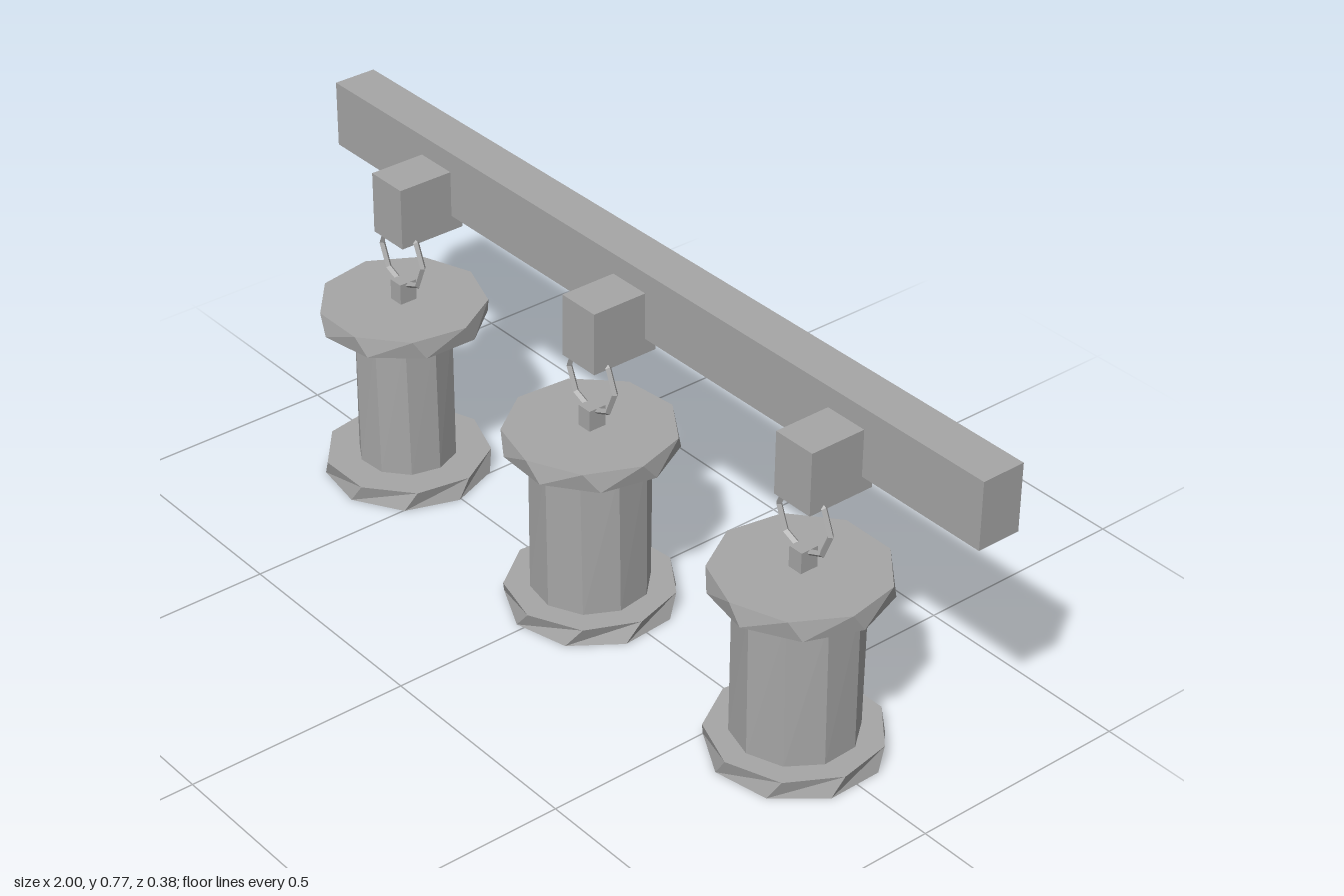
import * as THREE from 'three';

const grey = new THREE.MeshStandardMaterial({ color: 0xa6a6a6, flatShading: true });
grey.name = 'plain grey';

function add(parent, name, geometry, x, y, z) {
  const mesh = new THREE.Mesh(geometry, grey);
  mesh.name = name;
  mesh.position.set(x, y, z);
  parent.add(mesh);
  return mesh;
}

// Box given by its width and its y and z ranges
function box(parent, name, width, y0, y1, z0, z1) {
  return add(parent, name, new THREE.BoxGeometry(width, y1 - y0, z1 - z0), 0, (y0 + y1) / 2, (z0 + z1) / 2);
}

// Low-poly disc whose lower rim is turned against the upper one
function twistedDisc(radius, height, sides, start, twist) {
  const geometry = new THREE.CylinderGeometry(radius, radius, height, sides, 1, false, start).toNonIndexed();
  const p = geometry.attributes.position;
  const v = new THREE.Vector3();
  const axis = new THREE.Vector3(0, 1, 0);
  for (let i = 0; i < p.count; i++) {
    v.fromBufferAttribute(p, i);
    if (v.y < 0) v.applyAxisAngle(axis, twist);
    p.setXYZ(i, v.x, v.y, v.z);
  }
  geometry.computeVertexNormals();
  return geometry;
}

// Bracket, ring and hanging spool-shaped body
function hangingLantern(x, bodyRadius, start, twist) {
  const group = new THREE.Group();
  group.name = 'hangingLantern';
  group.position.x = x;
  box(group, 'bracket', 0.1, 0.58, 0.72, -0.118, 0.04);
  add(group, 'ring', new THREE.TorusGeometry(0.073, 0.007, 4, 8), 0, 0.532, 0.005);
  box(group, 'peg', 0.035, 0.42, 0.472, -0.016, 0.026);
  add(group, 'topDisc', twistedDisc(0.183, 0.043, 9, start, twist), 0, 0.403, 0.008);
  add(group, 'body', twistedDisc(bodyRadius, 0.345, 10, start, 0.04), 0, 0.212, 0.009);
  add(group, 'bottomDisc', twistedDisc(0.183, 0.044, 9, start, -twist), 0, 0.022, 0.008);
  return group;
}

export function createModel() {
  const model = new THREE.Group();
  model.name = 'lanternRail';
  box(model, 'rail', 2, 0.615, 0.766, -0.19, -0.09);
  model.add(hangingLantern(-0.64, 0.109, 0.35, 0.16));
  model.add(hangingLantern(0, 0.128, 0.1, 0.2));
  model.add(hangingLantern(0.637, 0.132, 0, 0.16));
  return model;
}
